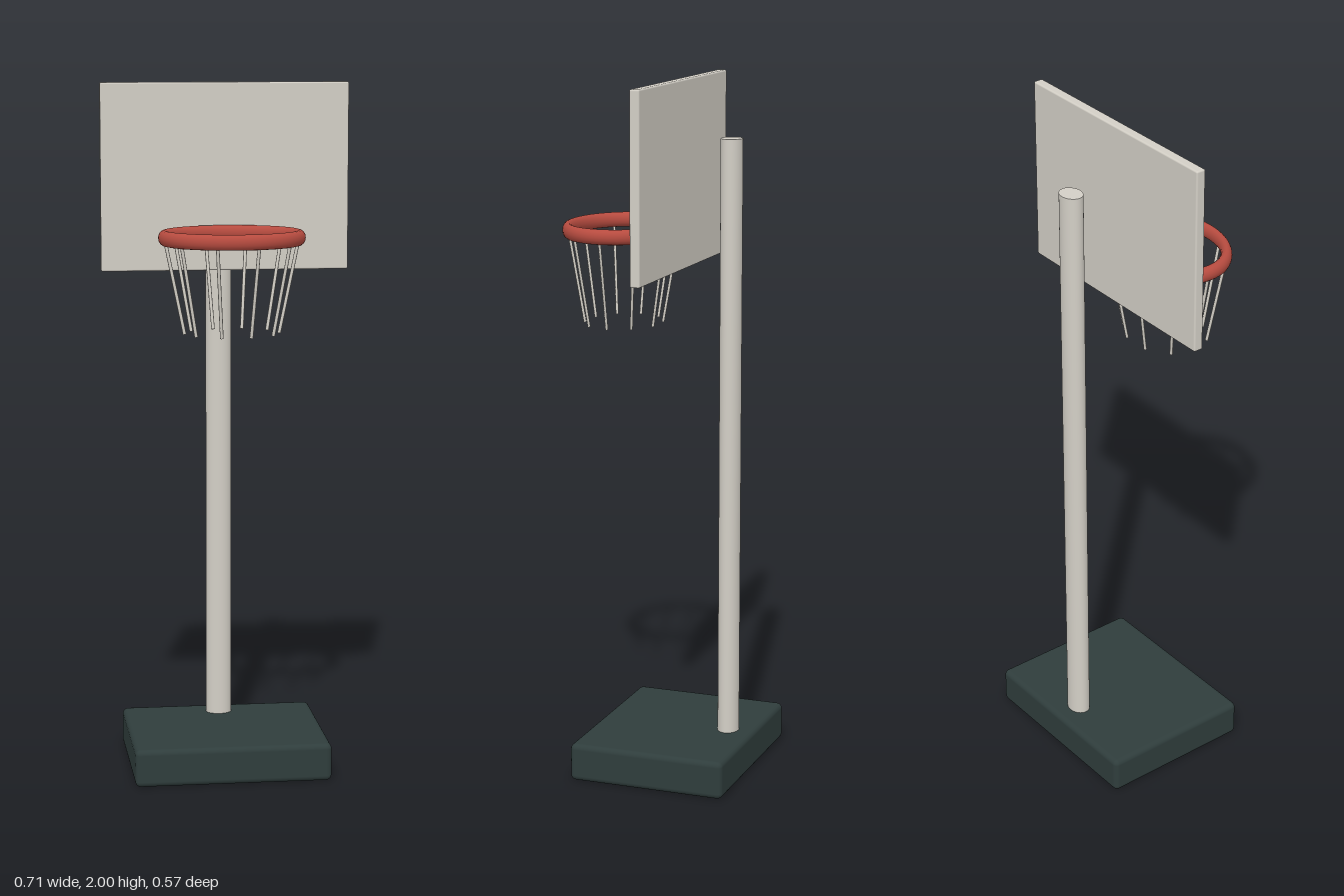
import * as THREE from 'three';
import { RoundedBoxGeometry } from 'three/addons/geometries/RoundedBoxGeometry.js';

const DEPTH = 0.815; // round parts are slightly flattened front to back

function material(name, color) {
  const m = new THREE.MeshStandardMaterial({ color });
  m.name = name;
  return m;
}

export function createModel() {
  const model = new THREE.Group();
  model.name = 'basketballHoop';
  const offWhite = material('offWhite', 0xd3cfc6);
  const darkGreen = material('darkGreen', 0x2f3d3c);
  const red = material('rimRed', 0xb84c40);

  const add = (name, geometry, mat, x, y, z, parent = model) => {
    const mesh = new THREE.Mesh(geometry, mat);
    mesh.name = name;
    mesh.position.set(x, y, z);
    parent.add(mesh);
    return mesh;
  };

  // Weighted base with softened edges
  add('base', new RoundedBoxGeometry(0.57, 0.11, 0.463, 3, 0.016), darkGreen, 0, 0.055, -0.0555);

  // Pole standing on the ground through the base
  const pole = add('pole', new THREE.CylinderGeometry(0.0375, 0.0375, 1.84, 32), offWhite, 0, 0.921, -0.21);
  pole.scale.z = DEPTH;

  // Backboard
  add('backboard', new RoundedBoxGeometry(0.712, 0.535, 0.029, 2, 0.005), offWhite, 0, 1.7325, -0.056);

  // Rim and net share one flattened group
  const hoop = new THREE.Group();
  hoop.name = 'hoop';
  hoop.position.set(0, 1.573, 0.114);
  hoop.scale.z = DEPTH;
  model.add(hoop);

  const ring = new THREE.TorusGeometry(0.1895, 0.0178, 16, 64).rotateX(Math.PI / 2);
  add('rim', ring.scale(1, 1.22, 1), red, 0, 0, 0, hoop);

  // Net strands leaning inwards below the rim
  const up = new THREE.Vector3(0, 1, 0);
  const strands = 10;
  for (let i = 0; i < strands; i++) {
    const a = (i / strands) * Math.PI * 2;
    const top = new THREE.Vector3(Math.cos(a) * 0.19, 0, Math.sin(a) * 0.19);
    const bottom = new THREE.Vector3(Math.cos(a) * 0.134, -0.271, Math.sin(a) * 0.134);
    const along = top.clone().sub(bottom);
    const mid = top.clone().add(bottom).multiplyScalar(0.5);
    const geometry = new THREE.CylinderGeometry(0.005, 0.005, along.length(), 8);
    const strand = add('netStrand' + (i + 1), geometry, offWhite, mid.x, mid.y, mid.z, hoop);
    strand.quaternion.setFromUnitVectors(up, along.normalize());
  }
  return model;
}
